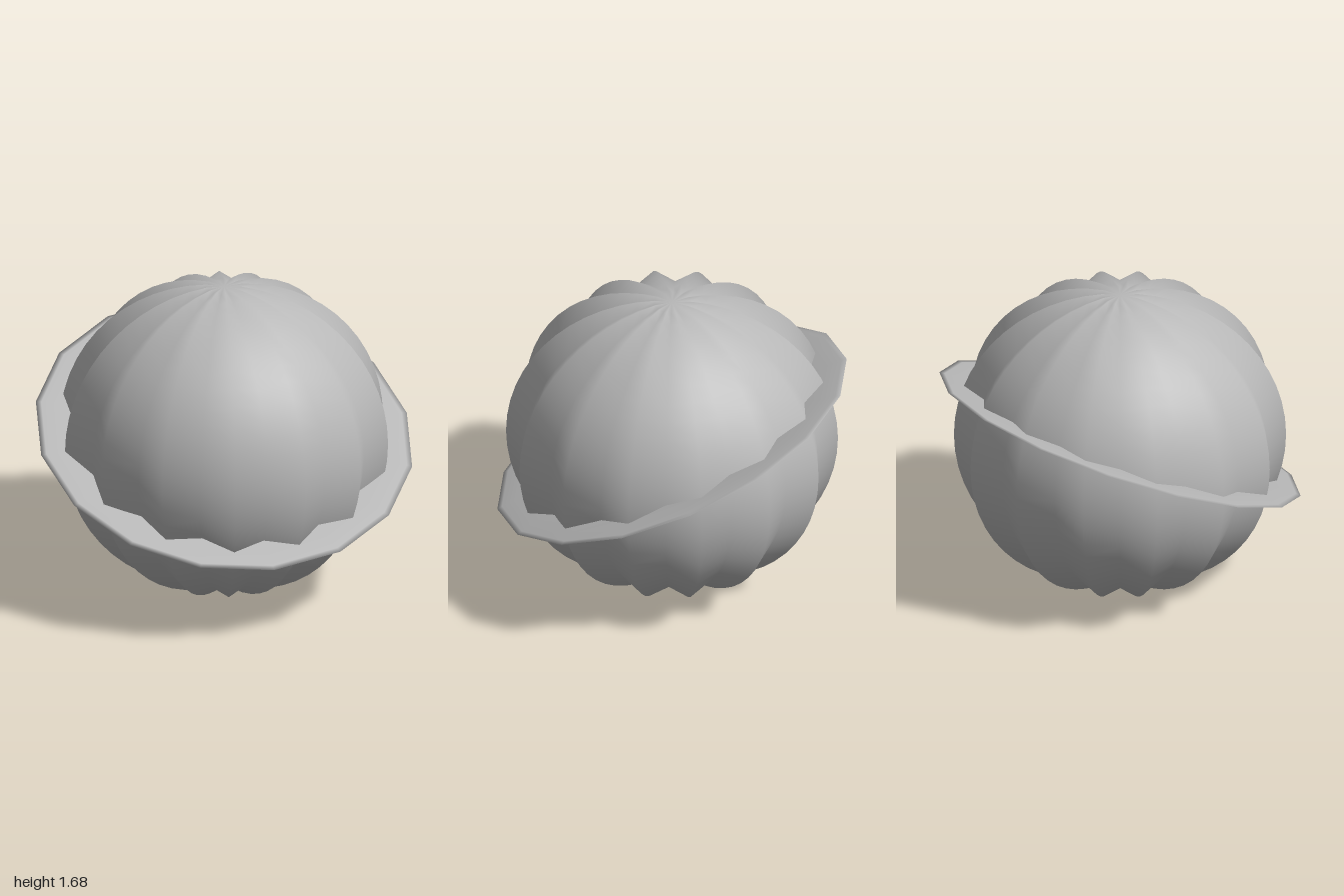
import * as THREE from 'three';
import { mergeVertices } from 'three/addons/utils/BufferGeometryUtils.js';

const RIBS = 14;
const RADIUS = 0.845;

// Globe whose meridians alternate between rib crests and grooves
function ribbedGlobe() {
  const geo = new THREE.SphereGeometry(1, RIBS * 2, 28);
  geo.deleteAttribute('uv');
  geo.deleteAttribute('normal');
  const pos = geo.attributes.position;
  const v = new THREE.Vector3();
  for (let i = 0; i < pos.count; i++) {
    v.fromBufferAttribute(pos, i);
    const s = Math.hypot(v.x, v.z); // 0 at the poles, 1 at the equator
    const wave = Math.cos(RIBS * Math.atan2(v.z, v.x));
    let r = RADIUS;
    if (s < 1e-4) r -= 0.007; // small dimple at each pole
    else if (wave > 0) r += 0.025 * s;
    else r -= 0.055 * Math.min(1, 1.5 * s);
    v.multiplyScalar(r);
    pos.setXYZ(i, v.x, v.y, v.z);
  }
  const merged = mergeVertices(geo, 1e-4);
  merged.computeVertexNormals();
  return merged;
}

// Thin flattened ring lying in the horizontal plane
function flatRing() {
  const geo = new THREE.TorusGeometry(0.85, 0.15, 10, 16);
  geo.rotateX(Math.PI / 2);
  geo.scale(1, 0.045, 1);
  return geo;
}

export function createModel() {
  const grey = new THREE.MeshStandardMaterial({ color: 0xb8b8b8 });
  grey.name = 'plain grey';

  const model = new THREE.Group();
  model.name = 'ringedPlanet';

  const globe = new THREE.Mesh(ribbedGlobe(), grey);
  globe.name = 'ribbedGlobe';
  globe.position.y = RADIUS;

  // Ring dips towards the front
  const ring = new THREE.Mesh(flatRing(), grey);
  ring.name = 'tiltedRing';
  ring.position.y = RADIUS;
  ring.rotation.x = THREE.MathUtils.degToRad(24);

  model.add(globe, ring);
  return model;
}
